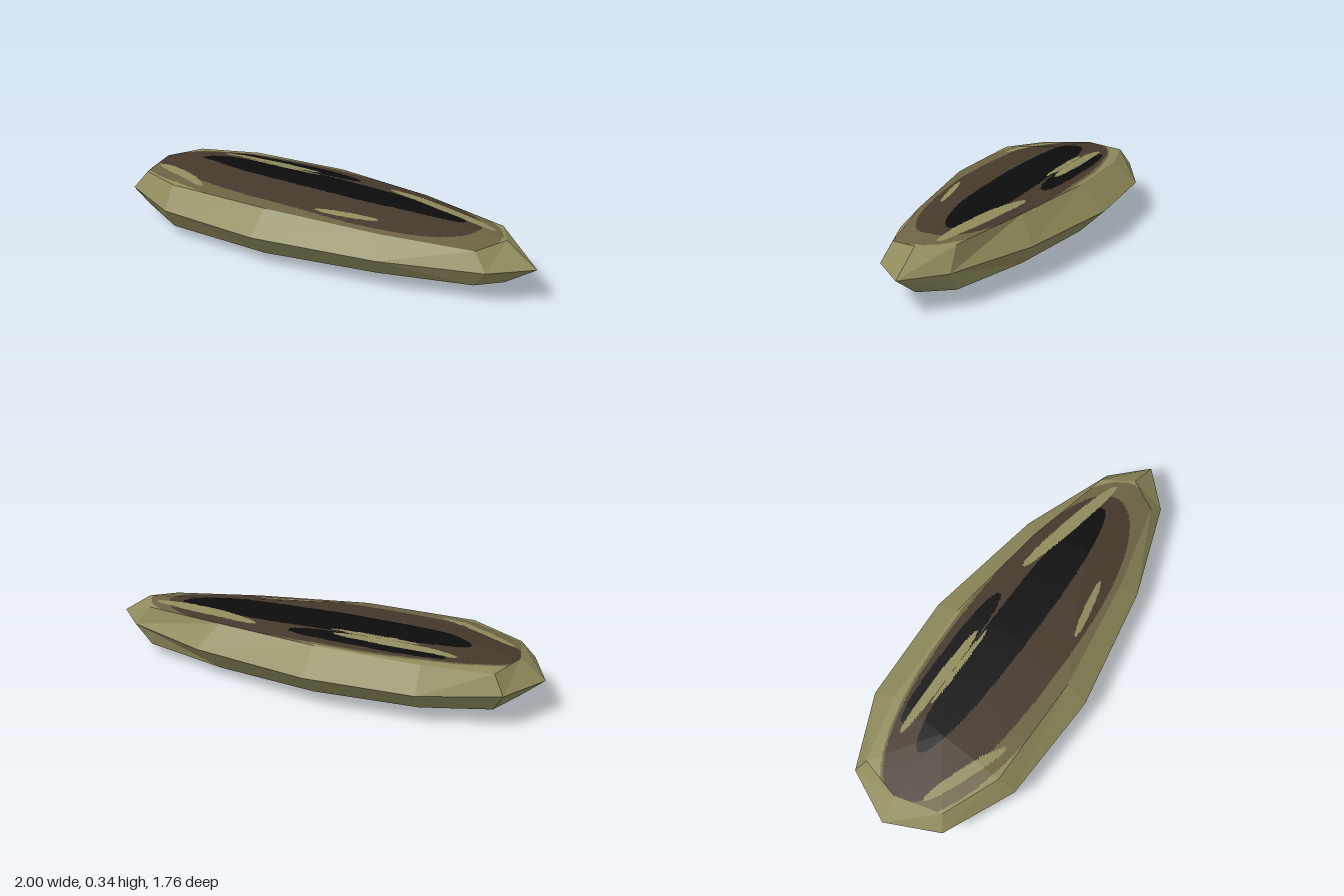
import * as THREE from 'three';

const MID = 0.175;
const mat = (name, color) => {
  const m = new THREE.MeshStandardMaterial({ color });
  m.name = name;
  return m;
};

// Outer rim outline [x, z] at mid height
const OUTLINE = [[-1, -0.45], [-0.92, -0.755], [-0.635, -0.885], [-0.22, -0.765], [0.26, -0.4], [0.71, 0.13],
  [0.975, 0.6], [1, 0.855], [0.74, 0.88], [0.235, 0.69], [-0.365, 0.345], [-0.815, -0.065]];
// Crease ring [x, z, height above the middle]
const RING = [[-0.92, -0.44, 0.095], [-0.81, -0.68, 0.105], [-0.615, -0.815, 0.095], [-0.285, -0.655, 0.115],
  [0.17, -0.295, 0.128], [0.575, 0.145, 0.128], [0.895, 0.55, 0.11], [0.87, 0.74, 0.112],
  [0.7, 0.81, 0.09], [0.26, 0.595, 0.105], [-0.29, 0.255, 0.125], [-0.77, -0.145, 0.12]];
// Shallow ridge along the middle
const RIDGE = [[-0.52, -0.42, 0.164], [-0.03, 0, 0.172], [0.46, 0.42, 0.164]];

// Oval markings on the broad faces, later ones on top.
// u runs along the shell, v across it; slope slants the oval.
const MARKINGS = [
  { colour: 1, u: 0, v: -0.04, length: 1.12, width: 0.36, slope: 0 },
  { colour: 2, u: -0.04, v: 0, length: 1.03, width: 0.3, slope: 0 },
  { colour: 3, u: 0.04, v: 0.035, length: 0.85, width: 0.115, slope: 0 },
  { colour: 3, u: -0.29, v: 0.205, length: 0.44, width: 0.053, slope: 0 },
  { colour: 0, u: -0.44, v: 0.175, length: 0.34, width: 0.027, slope: 0 },
  { colour: 0, u: -0.32, v: 0.135, length: 0.25, width: 0.013, slope: 0 },
  { colour: 0, u: -0.76, v: -0.225, length: 0.23, width: 0.032, slope: -0.4 },
  { colour: 0, u: 0.7, v: 0.125, length: 0.35, width: 0.035, slope: -0.2 },
  { colour: 0, u: 0.35, v: -0.23, length: 0.17, width: 0.02, slope: 0.2 },
];

function colourAt(p) {
  const u = 0.77 * p.x + 0.64 * p.z, v = 0.64 * p.x - 0.77 * p.z;
  let colour = 0;
  for (const m of MARKINGS) {
    const along = u - m.u, across = v - m.v - m.slope * along;
    if (Math.abs(along / m.length) ** 2.5 + (across / m.width) ** 2 < 1) colour = m.colour;
  }
  return colour;
}

// Turn triangles outward for the given side (1 top, -1 underside)
function addTriangle(out, a, b, c, side) {
  const n = b.clone().sub(a).cross(c.clone().sub(a));
  for (const p of n.y * side > 0 ? [a, b, c] : [a, c, b]) out.push(p.x, p.y, p.z);
}

// One geometry with a material group for each list of corners
function flatGeometry(lists) {
  const geo = new THREE.BufferGeometry();
  geo.setAttribute('position', new THREE.Float32BufferAttribute(lists.flat(), 3));
  let start = 0;
  lists.forEach((list, i) => {
    geo.addGroup(start, list.length / 3, i);
    start += list.length / 3;
  });
  geo.computeVertexNormals();
  return geo;
}

// Divide a facet finely and sort the pieces by the marking they lie in
function paintFacet(lists, a, b, c, side) {
  const n = 40;
  const at = (i, j) => a.clone().multiplyScalar((n - i - j) / n).addScaledVector(b, i / n).addScaledVector(c, j / n);
  const put = (p, q, r) => {
    const centre = p.clone().add(q).add(r).divideScalar(3);
    addTriangle(lists[colourAt(centre)], p, q, r, side);
  };
  for (let i = 0; i < n; i++) for (let j = 0; j < n - i; j++) {
    put(at(i, j), at(i + 1, j), at(i, j + 1));
    if (i + j < n - 1) put(at(i + 1, j), at(i + 1, j + 1), at(i, j + 1));
  }
}

export function createModel() {
  const group = new THREE.Group();
  group.name = 'facetedShell';
  const materials = [mat('lightOlive', 0x8f8b5c), mat('darkOlive', 0x6b6342),
    mat('darkBrown', 0x45382b), mat('black', 0x0c0c0c)];

  for (const side of [1, -1]) {
    const label = side > 0 ? 'upper' : 'lower';
    const point = ([x, z, h = 0]) => new THREE.Vector3(x, MID + side * h, z);
    const outer = OUTLINE.map(point), ring = RING.map(point), ridge = RIDGE.map(point);
    // Each ring corner runs to the nearest ridge point
    const nearest = (p) => ridge.reduce((best, r) => (r.distanceTo(p) < best.distanceTo(p) ? r : best));
    const rim = [], face = materials.map(() => []);

    for (let i = 0; i < 12; i++) {
      const k = (i + 1) % 12;
      // Bevelled rim
      addTriangle(rim, outer[i], outer[k], ring[i], side);
      addTriangle(rim, outer[k], ring[k], ring[i], side);
      // Broad face from the crease ring to the ridge
      const s = nearest(ring[i]), t = nearest(ring[k]);
      paintFacet(face, ring[i], ring[k], s, side);
      if (s !== t) paintFacet(face, ring[k], t, s, side);
    }

    const rimMesh = new THREE.Mesh(flatGeometry([rim]), materials[0]);
    rimMesh.name = label + 'Rim';
    const faceMesh = new THREE.Mesh(flatGeometry(face), materials);
    faceMesh.name = label + 'Face';
    group.add(rimMesh, faceMesh);
  }
  return group;
}
